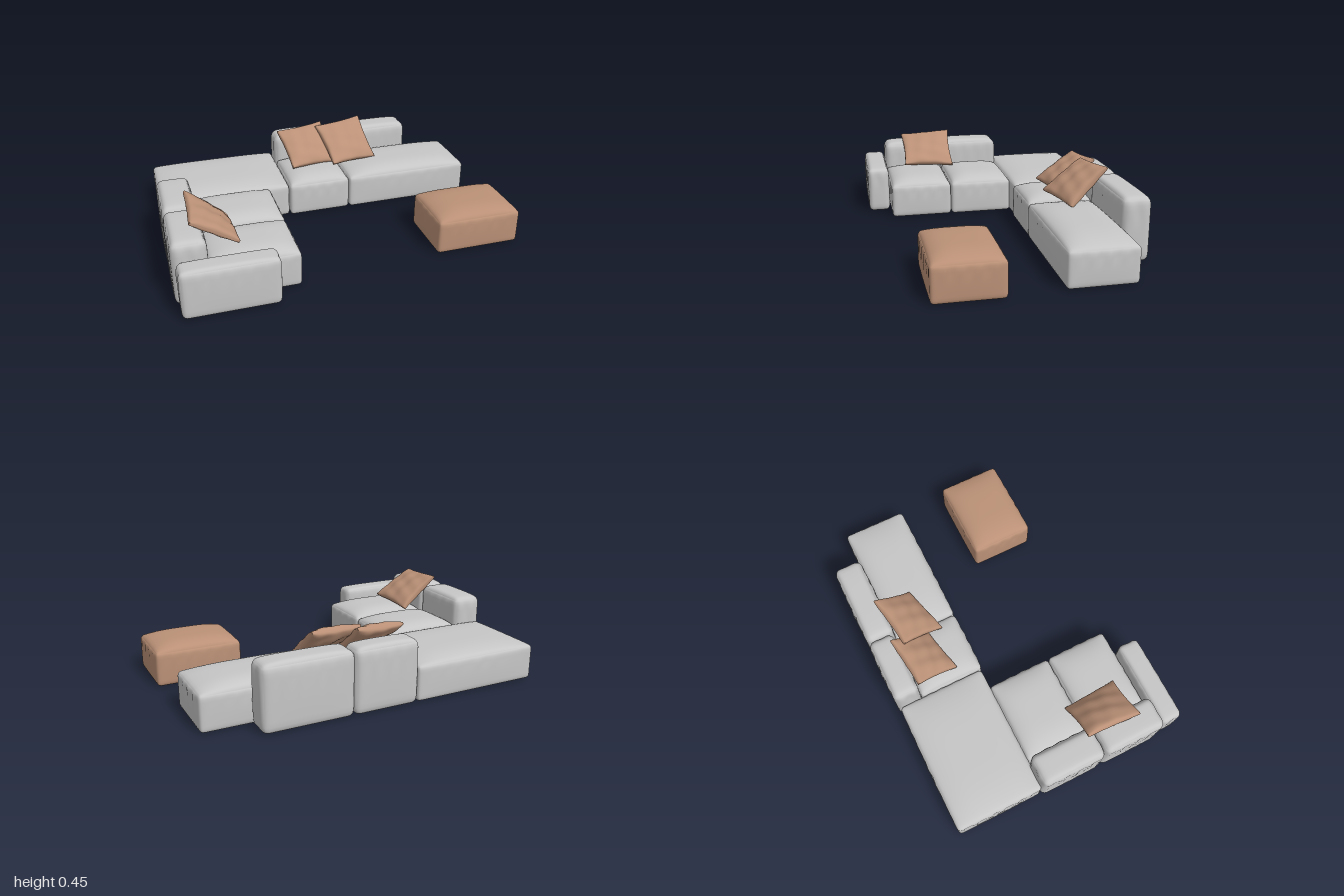
import * as THREE from 'three';
import { mergeVertices } from 'three/addons/utils/BufferGeometryUtils.js';

const fabric = new THREE.MeshStandardMaterial({ color: 0xc6c6c6 });
fabric.name = 'greyFabric';
const leather = new THREE.MeshStandardMaterial({ color: 0xbb9177 });
leather.name = 'tanLeather';

// Welded, edge-dense box whose vertices are moved by rule(u, v, w, out), u/v/w in -1..1
function shapedBox(nx, ny, nz, rule) {
  let geo = new THREE.BoxGeometry(2, 2, 2, nx, ny, nz);
  geo.deleteAttribute('uv');
  geo.deleteAttribute('normal');
  geo = mergeVertices(geo, 1e-4);
  const pos = geo.attributes.position;
  const p = new THREE.Vector3();
  const dense = (t) => Math.sin((t * Math.PI) / 2);
  for (let i = 0; i < pos.count; i++) {
    rule(dense(pos.getX(i)), dense(pos.getY(i)), dense(pos.getZ(i)), p);
    pos.setXYZ(i, p.x, p.y, p.z);
  }
  geo.computeVertexNormals();
  return geo;
}

// Upholstered block given by its extents; `dome` is how far the top puffs up
function block(name, [x0, x1], [y0, y1], [z0, z1], material, { r = 0.025, dome = 0, seed = 0 } = {}) {
  const half = new THREE.Vector3(x1 - x0, y1 - y0 - dome, z1 - z0).multiplyScalar(0.5);
  const inner = half.clone().subScalar(r);
  const q = new THREE.Vector3();
  const geo = shapedBox(24, 14, 24, (u, v, w, p) => {
    // rounded edges
    p.set(u, v, w).multiply(half);
    q.copy(p).clamp(inner.clone().negate(), inner);
    p.sub(q).normalize().multiplyScalar(r).add(q);
    // puffed top
    if (v > 0) p.y += dome * v * (1 - u ** 4) * (1 - w ** 4);
    // soft side bulge and puckers below the top seam
    const pucker = 0.004 * Math.exp(-(((v - 0.6) / 0.3) ** 2));
    const sx = 0.005 * (1 - v * v) * (1 - w * w) + pucker * Math.sin(w * half.z * 75 + seed) * (1 - w * w);
    const sz = 0.005 * (1 - v * v) * (1 - u * u) + pucker * Math.sin(u * half.x * 75 + seed * 2) * (1 - u * u);
    p.x += sx * u ** 5;
    p.z += sz * w ** 5;
  });
  const mesh = new THREE.Mesh(geo, material);
  mesh.name = name;
  mesh.position.set((x0 + x1) / 2, y0 + half.y, (z0 + z1) / 2);
  return mesh;
}

// Scatter pillow: pointed corners, slightly hollow edges, creased faces
function pillow(name, [w, h, t], position, yaw, lean, seed) {
  const geo = shapedBox(24, 24, 4, (u, v, k, p) => {
    const puff = Math.pow((1 - u * u) * (1 - v * v), 0.4);
    const crease = 0.007 * Math.sin(6 * u + 4 * v + seed) * Math.sin(5 * v - 3 * u + seed * 2) * puff;
    p.set(
      (u * w / 2) * (1 - 0.06 * (1 - v * v)),
      (v * h / 2) * (1 - 0.06 * (1 - u * u)),
      k * (0.006 + (t / 2) * puff) + crease + 0.012 * u * v
    );
  });
  const mesh = new THREE.Mesh(geo, leather);
  mesh.name = name;
  mesh.position.set(...position);
  mesh.rotation.set(-lean, yaw, 0, 'YXZ');
  return mesh;
}

export function createModel() {
  const model = new THREE.Group();
  model.name = 'sectionalSofa';
  const seat = { dome: 0.04, r: 0.022 };
  const back = { dome: 0.012, r: 0.035 };

  // Rear run: corner lounge, middle seat, long open seat
  model.add(
    block('cornerLounge', [-0.98, -0.205], [0.005, 0.238], [-0.70, -0.18], fabric, { dome: 0.03, r: 0.022, seed: 1 }),
    block('rearSeat', [-0.2, 0.178], [0.005, 0.247], [-0.56, -0.17], fabric, { ...seat, seed: 2 }),
    block('longSeat', [0.182, 0.955], [0.005, 0.247], [-0.55, -0.168], fabric, { ...seat, seed: 3 }),
    block('rearBackrest', [-0.2, 0.18], [0.005, 0.375], [-0.71, -0.56], fabric, { ...back, seed: 4 }),
    block('longBackrest', [0.182, 0.69], [0.005, 0.375], [-0.71, -0.545], fabric, { ...back, seed: 5 })
  );

  // Side run: two matching seats with backrests
  [[-0.183, 0.198], [0.202, 0.572]].forEach((z, i) => {
    model.add(
      block('sideSeat' + (i + 1), [-0.81, -0.325], [0.005, 0.247], z, fabric, { ...seat, seed: 6 + i }),
      block('sideBackrest' + (i + 1), [-0.995, -0.81], [0.005, 0.375], z, fabric, { ...back, seed: 8 + i })
    );
  });

  // Low arm closing the side run
  model.add(block('armrest', [-0.975, -0.465], [0.01, 0.29], [0.58, 0.71], fabric, { r: 0.028, dome: 0.008, seed: 10 }));

  // Separate footstool
  model.add(block('footstool', [0.487, 0.988], [0.005, 0.245], [0.13, 0.507], leather, { ...seat, seed: 11 }));

  // Scatter pillows
  model.add(
    pillow('rearPillowA', [0.3, 0.29, 0.075], [-0.02, 0.335, -0.455], 0.17, 0.93, 1),
    pillow('rearPillowB', [0.31, 0.3, 0.075], [0.235, 0.345, -0.435], 0.21, 0.9, 2.5),
    pillow('sidePillow', [0.32, 0.29, 0.07], [-0.755, 0.34, 0.3], Math.PI / 2, 0.95, 4)
  );
  return model;
}
